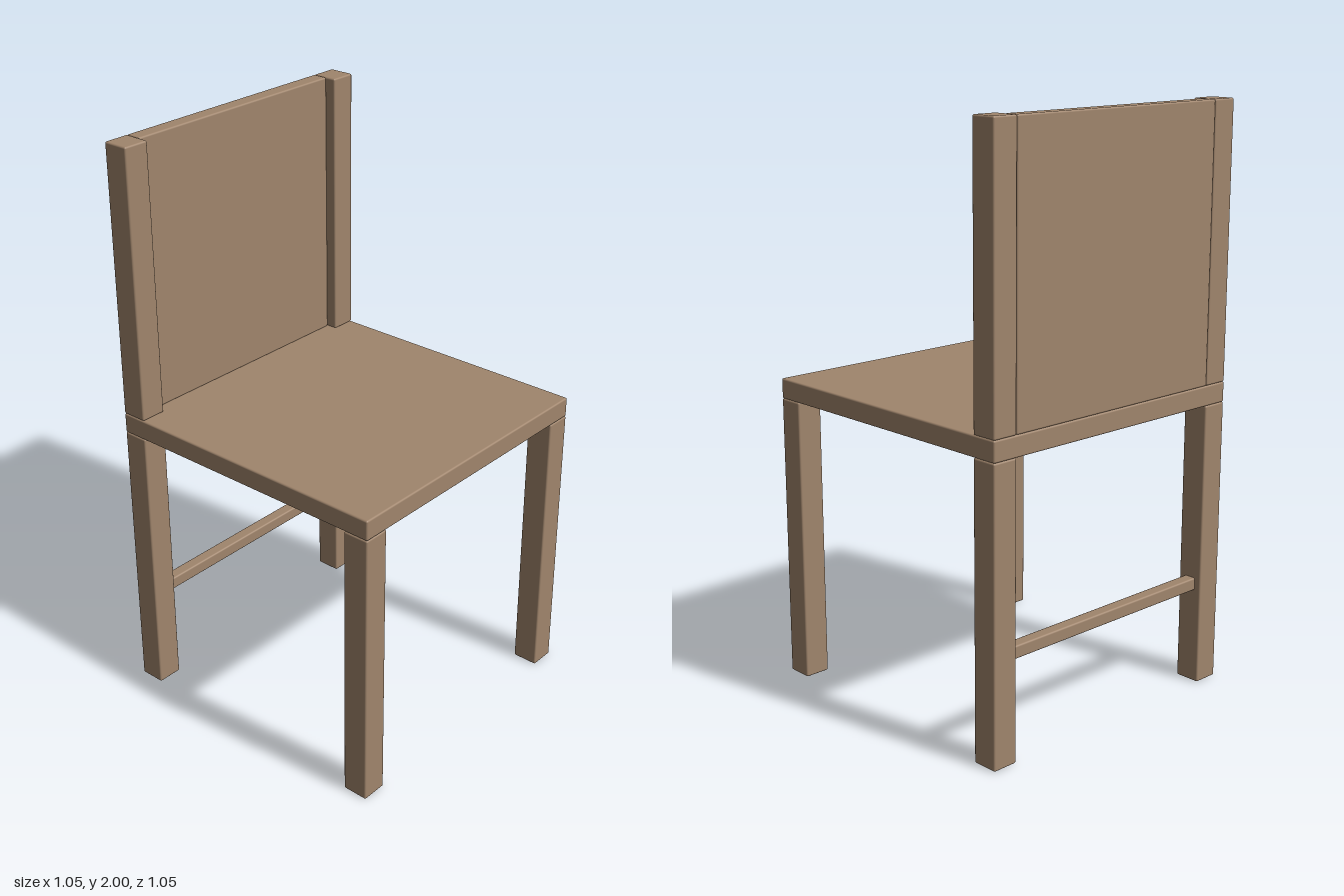
import * as THREE from 'three';
import { RoundedBoxGeometry } from 'three/addons/geometries/RoundedBoxGeometry.js';

export function createModel() {
  const chair = new THREE.Group();
  chair.name = 'chair';
  const wood = new THREE.MeshStandardMaterial({ color: 0xa0856c });
  wood.name = 'wood';

  const H = 0.527;  // half width and depth of the seat
  const T = 0.092;  // thickness of legs and posts
  const C = H - T / 2;
  const legTop = 0.993, seatTop = 1.063;

  // Softly bevelled board given by its centre in x and z, and its bottom and top
  function board(name, w, d, y0, y1, x, z) {
    const mesh = new THREE.Mesh(new RoundedBoxGeometry(w, y1 - y0, d, 2, 0.006), wood);
    mesh.name = name;
    mesh.position.set(x, (y0 + y1) / 2, z);
    chair.add(mesh);
  }

  board('seat', 2 * H, 2 * H, legTop, seatTop, 0, 0);

  // Legs and back posts, mirrored left and right
  for (const [side, s] of [['left', 1], ['right', -1]]) {
    board(side + 'FrontLeg', T, T, 0, legTop, s * C, C);
    board(side + 'BackLeg', T, T, 0, legTop, s * C, -C);
    board(side + 'BackPost', T, T, seatTop, 2, s * C, -C);
  }

  // Back panel, flush with the rear of the posts
  board('backPanel', 2 * (H - T), 0.055, seatTop, 2, 0, -H + 0.0275);

  // Rung between the back legs
  board('backRung', 2 * (H - T) + 0.01, 0.044, 0.335, 0.379, 0, -C);

  return chair;
}
